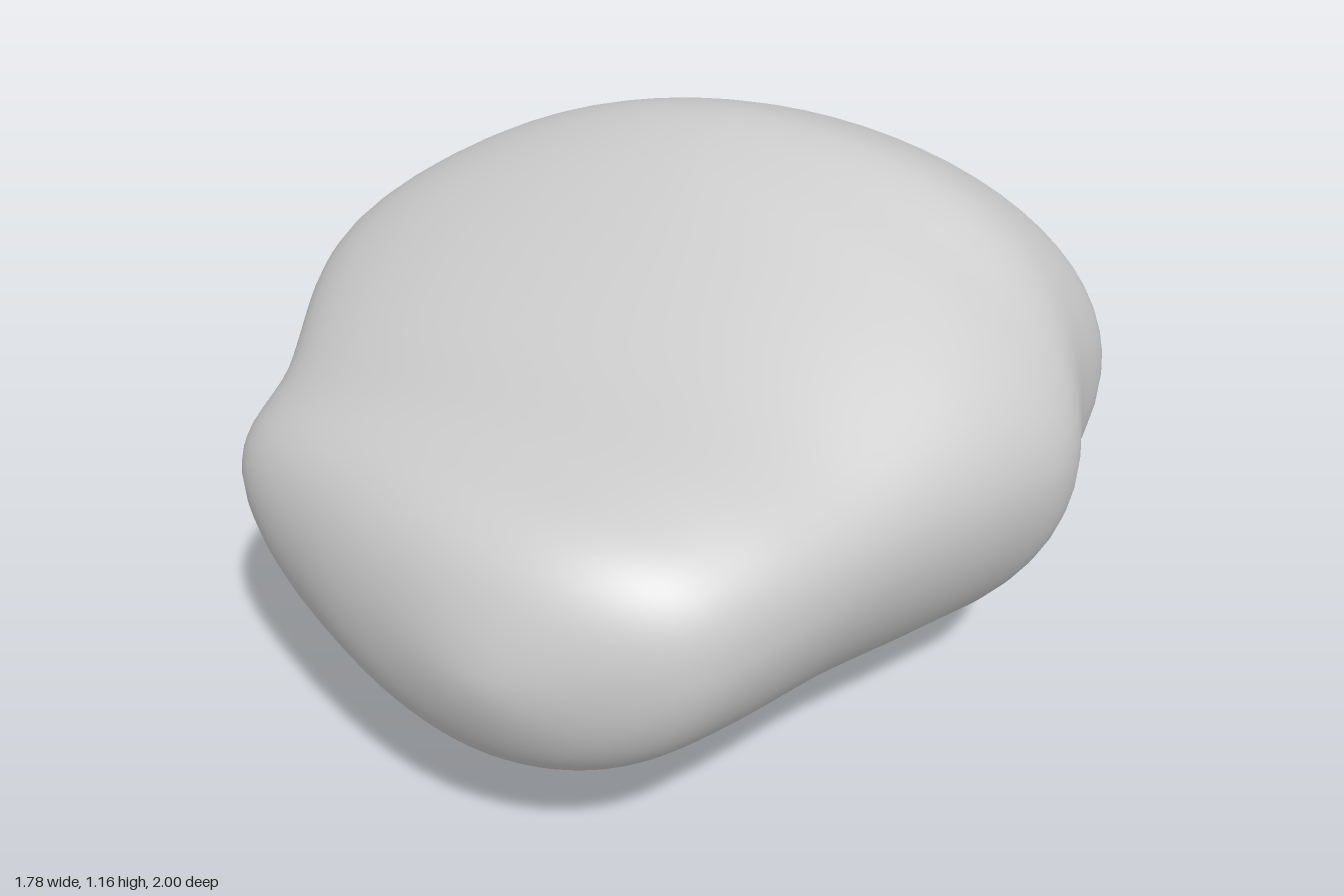
import * as THREE from 'three';

// Cross-sections, front to back:
// z | right x,y | left x,y | top x,y | bottom x,y | corner sharpness: upper right, upper left, lower left, lower right
const SECTIONS = [
  [0.95, 0.36, 0.55, -0.09, 0.53, 0.16, 0.70, 0.12, 0.36, 0.95, 1, 1, 1],
  [0.85, 0.52, 0.57, -0.36, 0.54, 0.15, 0.80, 0.08, 0.24, 0.85, 0.95, 1.05, 1.05],
  [0.68, 0.62, 0.60, -0.64, 0.57, 0.15, 0.845, 0.04, 0.155, 0.8, 0.95, 1.1, 1.1],
  [0.40, 0.72, 0.62, -0.74, 0.62, 0.15, 0.90, 0.0, 0.085, 0.85, 1.05, 1.15, 1.1],
  [0.10, 0.84, 0.63, -0.87, 0.70, 0.08, 1.035, 0.0, 0.035, 0.95, 1.15, 1.2, 1.05],
  [-0.10, 0.885, 0.62, -0.89, 0.73, 0.03, 1.13, 0.0, 0.012, 1, 1.2, 1.2, 1],
  [-0.30, 0.825, 0.62, -0.825, 0.72, 0.03, 1.16, 0.0, 0.0, 0.85, 1.15, 1.15, 1],
  [-0.55, 0.775, 0.62, -0.745, 0.66, 0.02, 1.07, -0.02, 0.03, 0.95, 1.05, 1.05, 1.05],
  [-0.75, 0.57, 0.60, -0.68, 0.62, -0.06, 0.965, -0.04, 0.09, 1.05, 0.95, 1, 1],
  [-0.90, 0.31, 0.60, -0.53, 0.60, -0.08, 0.855, -0.06, 0.27, 1, 0.95, 1, 1],
  [-0.97, 0.13, 0.60, -0.35, 0.60, -0.08, 0.73, -0.07, 0.42, 1, 1, 1, 1],
];

// A tip is a section shrunk to one point
const tip = (z, x, y) => [z, x, y, x, y, x, y, x, y, 1, 1, 1, 1];

// Flip a section through a tip so the surface closes as a smooth dome
const flip = (row, end) => row.map((v, i) => (i > 0 && i < 9 ? 2 * end[i] - v : v));

// Catmull-Rom blend of four sections
function blend(a, b, c, d, t) {
  return b.map((_, i) => 0.5 * (2 * b[i] + (c[i] - a[i]) * t
    + (2 * a[i] - 5 * b[i] + 4 * c[i] - d[i]) * t * t
    + (3 * b[i] - a[i] - 3 * c[i] + d[i]) * t * t * t));
}

// Four superellipse quarters joining the right, top, left and bottom points
function sectionPoint(s, angle) {
  const c = Math.cos(angle), n = Math.sin(angle);
  const [sx, sy] = c >= 0 ? [s[1], s[2]] : [s[3], s[4]];
  const [vx, vy] = n >= 0 ? [s[5], s[6]] : [s[7], s[8]];
  const e = n >= 0 ? (c >= 0 ? s[9] : s[10]) : (c < 0 ? s[11] : s[12]);
  return [vx + (sx - vx) * Math.abs(c) ** e, sy + (vy - sy) * Math.abs(n) ** e, s[0]];
}

function rockGeometry(around = 64, steps = 6) {
  const front = tip(1, 0.16, 0.53), back = tip(-1, -0.07, 0.6);
  const rows = [flip(SECTIONS[0], front), front, ...SECTIONS, back,
    flip(SECTIONS[SECTIONS.length - 1], back)];
  const rings = (rows.length - 3) * steps;
  const positions = [], index = [];

  // Each tip is one shared vertex; the rings between them wrap around
  const vertex = (i, j) => {
    if (i === 0) return 0;
    return 1 + (i - 1) * around + (i === rings ? 0 : j % around);
  };
  for (let i = 0; i <= rings; i++) {
    const k = Math.min(Math.floor(i / steps), rows.length - 4);
    const s = blend(rows[k], rows[k + 1], rows[k + 2], rows[k + 3], i / steps - k);
    const count = i === 0 || i === rings ? 1 : around;
    for (let j = 0; j < count; j++) positions.push(...sectionPoint(s, (j / around) * Math.PI * 2));
  }
  for (let i = 0; i < rings; i++) {
    for (let j = 0; j < around; j++) {
      const a = vertex(i, j), b = vertex(i, j + 1);
      const c = vertex(i + 1, j), d = vertex(i + 1, j + 1);
      if (i > 0) index.push(a, c, b);
      if (i < rings - 1) index.push(b, c, d);
    }
  }
  const geometry = new THREE.BufferGeometry();
  geometry.setAttribute('position', new THREE.Float32BufferAttribute(positions, 3));
  geometry.setIndex(index);
  geometry.computeVertexNormals();
  return geometry;
}

export function createModel() {
  const group = new THREE.Group();
  group.name = 'boulder';
  const rock = new THREE.Mesh(rockGeometry(), new THREE.MeshStandardMaterial({ color: 0xcccccc }));
  rock.name = 'rock';
  group.add(rock);
  return group;
}
